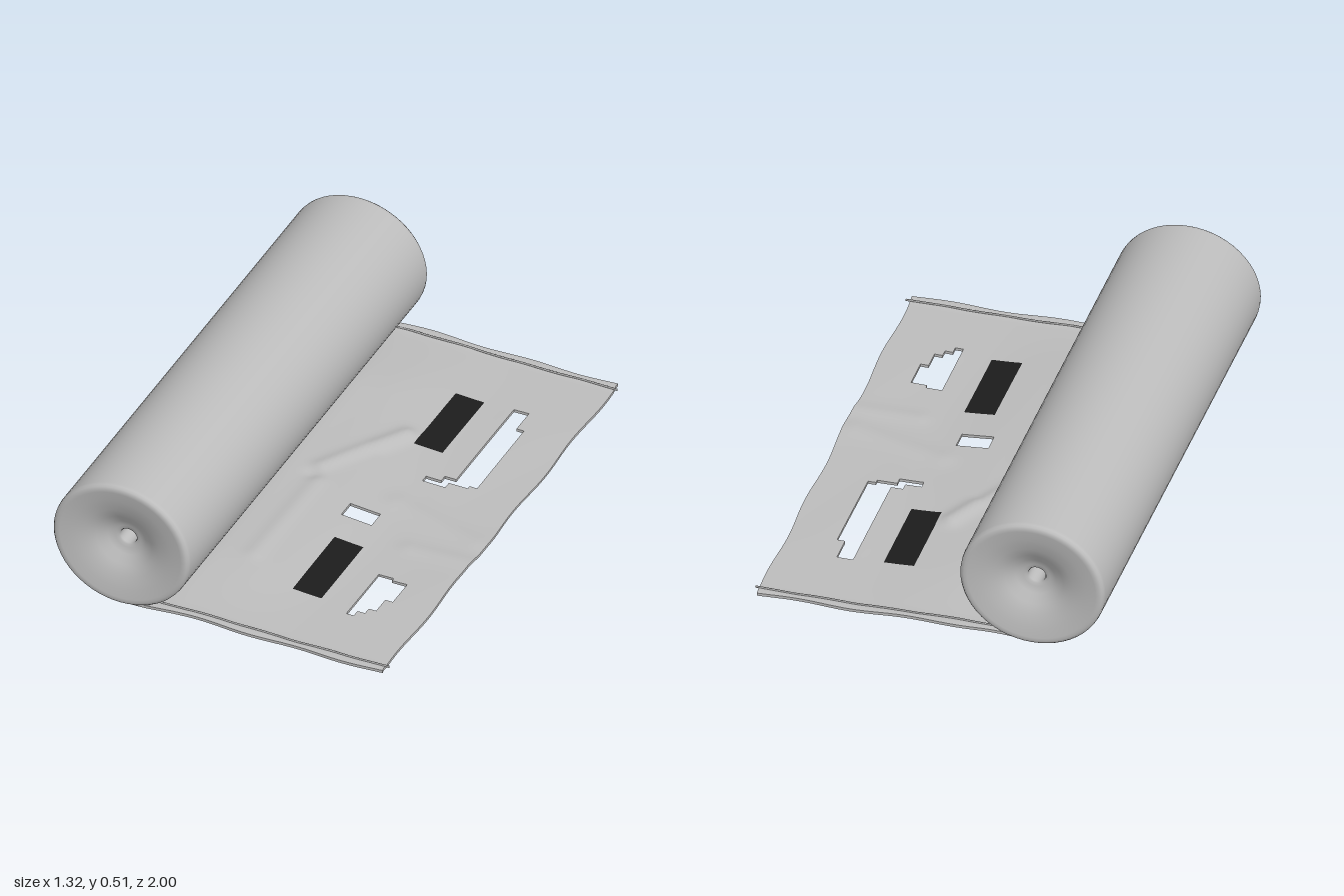
import * as THREE from 'three';

const STEP = 0.015, X0 = -0.395, X1 = 0.64, Z1 = 0.98;

// stepped cut-outs as rectangles: x min, x max, z min, z max
const CUTOUTS = [
  [0.375, 0.435, -0.685, -0.58], [0.375, 0.46, -0.58, -0.19], [0.32, 0.437, -0.195, -0.165], [0.27, 0.36, -0.165, -0.14],
  [0.105, 0.215, 0.105, 0.19],
  [0.375, 0.435, 0.435, 0.46], [0.375, 0.485, 0.455, 0.57], [0.375, 0.46, 0.57, 0.65],
  [0.375, 0.435, 0.65, 0.68], [0.375, 0.405, 0.68, 0.71],
];

const bump = (d, w) => Math.exp(-(d * d) / (w * w));

// distance from a segment in the x-z plane
function segment(x, z, ax, az, bx, bz) {
  const dx = bx - ax, dz = bz - az;
  const t = THREE.MathUtils.clamp(((x - ax) * dx + (z - az) * dz) / (dx * dx + dz * dz), 0, 1);
  return Math.hypot(x - ax - t * dx, z - az - t * dz);
}

// height of the cloth: a gentle rise near the roll, plus a few creases
function height(x, z) {
  const ends = 1 - THREE.MathUtils.smoothstep(Math.abs(z), 0.55, 0.95);
  const lift = THREE.MathUtils.smoothstep(x, -0.39, -0.18) * (1 - THREE.MathUtils.smoothstep(x, -0.1, 0.32));
  let y = 0.013 + lift * (0.008 + 0.018 * ends);
  y += 0.018 * bump(segment(x, z, -0.08, -0.04, 0.1, -0.36), 0.035);
  y -= 0.008 * bump(segment(x, z, -0.1, 0.02, 0.03, -0.2), 0.03);
  y += 0.007 * bump(segment(x, z, -0.06, 0.05, -0.07, 0.55), 0.035);
  y += 0.007 * bump(segment(x, z, 0.25, 0.02, 0.6, 0.12), 0.05);
  y += 0.006 * bump(segment(x, z, 0.4, 0.25, 0.64, 0.24), 0.04);
  y += 0.002 * Math.sin(9 * x + 4 * z) * ends;
  y += 0.006 * bump(Math.abs(z) - 0.965, 0.018);
  return Math.max(y, 0.009);
}

// thick cloth grid with the cut-outs left open and side walls around every edge
function clothGeometry() {
  const nx = Math.round((X1 - X0) / STEP), nz = Math.round(2 * Z1 / STEP);
  const pos = [], idx = [];
  const layer = (nx + 1) * (nz + 1);
  for (let side = 0; side < 2; side++) {
    for (let j = 0; j <= nz; j++) for (let i = 0; i <= nx; i++) {
      const u = X0 + (X1 - X0) * i / nx, v = -Z1 + 2 * Z1 * j / nz;
      const x = u + (i === nx ? 0.005 * Math.sin(v * 13) : 0);
      const z = v + (j === 0 || j === nz ? 0.005 * Math.sin(u * 16) : 0);
      const y = height(u, v);
      pos.push(x, side ? Math.max(0.002, y - 0.011) : y, z);
    }
  }
  const solid = (i, j) => {
    if (i < 0 || j < 0 || i >= nx || j >= nz) return false;
    const x = X0 + (X1 - X0) * (i + 0.5) / nx, z = -Z1 + 2 * Z1 * (j + 0.5) / nz;
    return !CUTOUTS.some(([a, b, c, d]) => x > a && x < b && z > c && z < d);
  };
  const at = (i, j) => j * (nx + 1) + i;
  const wallPos = [];
  const wall = (p, q) => {
    for (const k of [p, q, q + layer, p, q + layer, p + layer]) wallPos.push(...pos.slice(3 * k, 3 * k + 3));
  };
  for (let j = 0; j < nz; j++) for (let i = 0; i < nx; i++) {
    if (!solid(i, j)) continue;
    const a = at(i, j), b = at(i + 1, j), c = at(i + 1, j + 1), d = at(i, j + 1);
    idx.push(a, d, c, a, c, b);
    idx.push(...[a, c, d, a, b, c].map((k) => k + layer));
    if (!solid(i, j - 1)) wall(a, b);
    if (!solid(i + 1, j)) wall(b, c);
    if (!solid(i, j + 1)) wall(c, d);
    if (!solid(i - 1, j)) wall(d, a);
  }
  const faces = new THREE.BufferGeometry();
  faces.setAttribute('position', new THREE.Float32BufferAttribute(pos, 3));
  faces.setIndex(idx);
  faces.computeVertexNormals();
  const walls = new THREE.BufferGeometry();
  walls.setAttribute('position', new THREE.Float32BufferAttribute(wallPos, 3));
  walls.computeVertexNormals();
  return { faces, walls };
}

// thin panel that follows the cloth
function drape(x0, x1, z0, z1, lift) {
  const g = new THREE.PlaneGeometry(x1 - x0, z1 - z0, 8, 24).rotateX(-Math.PI / 2);
  g.translate((x0 + x1) / 2, 0, (z0 + z1) / 2);
  const p = g.attributes.position;
  for (let i = 0; i < p.count; i++) p.setY(i, height(p.getX(i), p.getZ(i)) + lift);
  g.computeVertexNormals();
  return g;
}

export function createModel() {
  const group = new THREE.Group();
  const cloth = new THREE.MeshStandardMaterial({ color: 0xbcbcbc });
  cloth.name = 'grey cloth';
  const edge = cloth;
  const black = new THREE.MeshStandardMaterial({ color: 0x1c1c1c });
  black.name = 'black';
  const add = (name, geometry, material, parent = group) => {
    const mesh = new THREE.Mesh(geometry, material);
    mesh.name = name;
    parent.add(mesh);
    return mesh;
  };

  // roll with rounded rims and dished ends: radius, distance along the axis
  const end = [
    [0.032, 0.8], [0.032, 0.925], [0.036, 0.932], [0.05, 0.932], [0.075, 0.942], [0.11, 0.964], [0.15, 0.982],
    [0.2, 0.993], [0.24, 0.999], [0.252, 1], [0.262, 0.996], [0.268, 0.988], [0.27, 0.975],
  ];
  const profile = [
    ...end.map(([r, z]) => new THREE.Vector2(r, -z)),
    ...end.slice().reverse().map(([r, z]) => new THREE.Vector2(r, z)),
  ];
  const roll = new THREE.Group();
  roll.name = 'roll';
  roll.position.set(-0.39, 0.26, 0);
  roll.scale.set(1, 0.945, 1);
  group.add(roll);
  add('rolledCloth', new THREE.LatheGeometry(profile, 56).rotateX(Math.PI / 2), cloth, roll);
  for (const s of [1, -1]) {
    const core = add('rollCore', new THREE.CircleGeometry(0.033, 24), black, roll);
    core.position.z = s * 0.81;
    if (s < 0) core.rotation.y = Math.PI;
  }

  // unrolled sheet
  const { faces, walls } = clothGeometry();
  add('sheet', faces, cloth);
  add('sheetEdges', walls, edge);

  // hem welts along both ends
  for (const s of [1, -1]) {
    const points = [];
    for (let i = 0; i <= 12; i++) {
      const x = -0.25 + 0.905 * i / 12;
      points.push(new THREE.Vector3(x, height(x, s * 0.95) + 0.001, s * (0.948 + 0.002 * Math.sin(i * 2))));
    }
    add('hem', new THREE.TubeGeometry(new THREE.CatmullRomCurve3(points), 40, 0.004, 6), cloth);
  }

  // black panels, each with a narrow border
  for (const [x0, x1, z0, z1] of [[0.145, 0.258, -0.67, -0.322], [0.138, 0.252, 0.322, 0.67]]) {
    add('panelBorder', drape(x0 - 0.006, x1 + 0.006, z0 - 0.006, z1 + 0.006, 0.002), cloth);
    add('panel', drape(x0, x1, z0, z1, 0.004), black);
  }
  return group;
}
